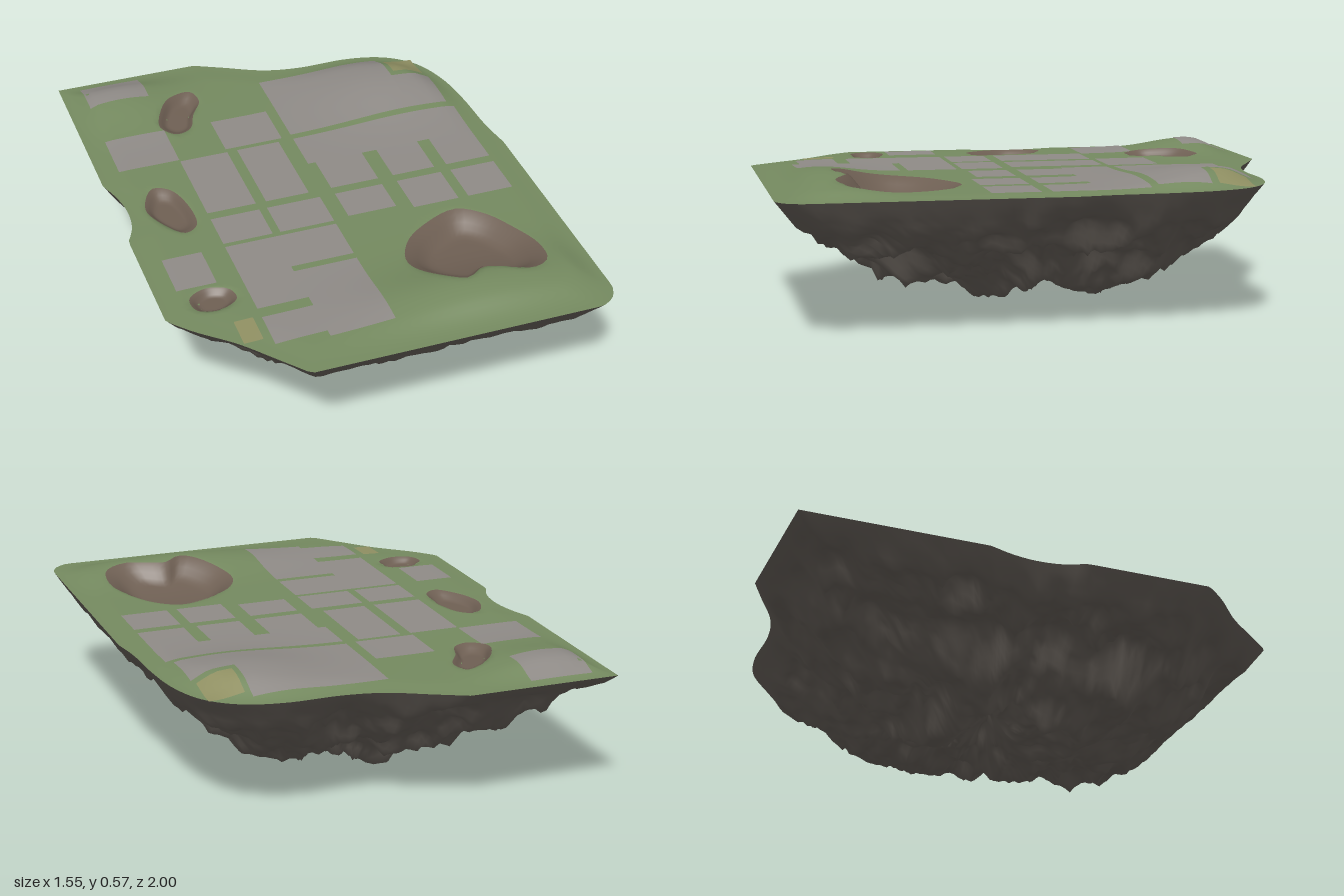
import * as THREE from 'three';

const EDGE_Y = 0.52;
const { smoothstep, lerp } = THREE.MathUtils;
const vec = (list) => list.map(([x, z]) => new THREE.Vector2(x, z));

// Island outline in (x, z), clockwise seen from above
function islandOutline() {
  const s = new THREE.Shape();
  s.moveTo(-0.78, -1);
  s.lineTo(-0.21, -1);
  s.splineThru(vec([[-0.1, -0.945], [0.05, -0.87], [0.2, -0.84], [0.4, -0.838], [0.55, -0.8], [0.66, -0.71],
    [0.72, -0.57], [0.745, -0.4], [0.755, -0.2], [0.775, -0.06]]));
  s.lineTo(0.775, 0.91);
  s.splineThru(vec([[0.75, 0.965], [0.7, 1]]));
  s.lineTo(-0.39, 1);
  s.splineThru(vec([[-0.48, 0.89], [-0.58, 0.77], [-0.7, 0.66], [-0.78, 0.57]]));
  s.lineTo(-0.78, 0.08);
  s.splineThru(vec([[-0.745, 0], [-0.735, -0.1], [-0.75, -0.2], [-0.78, -0.29]]));
  s.lineTo(-0.78, -1);
  return s.getSpacedPoints(240).slice(0, -1);
}

// Closed smooth outline for a crater
function blob(list, count = 48) {
  const curve = new THREE.CatmullRomCurve3(list.map(([x, z]) => new THREE.Vector3(x, 0, z)), true);
  return curve.getSpacedPoints(count).slice(0, -1).map((p) => new THREE.Vector2(p.x, p.z));
}

const OUTLINE = islandOutline();
const CENTRE = new THREE.Vector2(0, 0);
const CRATERS = [
  { name: 'largeCrater', depth: 0.06, centre: [0.38, 0.54], rim: [[0.42, 0.3], [0.51, 0.36], [0.58, 0.48], [0.62, 0.6],
    [0.6, 0.73], [0.52, 0.77], [0.43, 0.73], [0.36, 0.71], [0.28, 0.76], [0.17, 0.66], [0.13, 0.55], [0.18, 0.43], [0.28, 0.35]] },
  { name: 'backCrater', depth: 0.03, centre: [-0.38, -0.65], rim: [[-0.29, -0.79], [-0.27, -0.72], [-0.32, -0.63],
    [-0.36, -0.54], [-0.42, -0.52], [-0.47, -0.58], [-0.44, -0.68], [-0.38, -0.76]] },
  { name: 'sideCrater', depth: 0.03, centre: [-0.59, -0.05], rim: [[-0.61, -0.2], [-0.55, -0.17], [-0.51, -0.03],
    [-0.52, 0.08], [-0.57, 0.11], [-0.63, 0.04], [-0.67, -0.08]] },
  { name: 'smallCrater', depth: 0.025, centre: [-0.59, 0.515], rim: [[-0.6, 0.45], [-0.52, 0.48], [-0.51, 0.54],
    [-0.58, 0.58], [-0.66, 0.56], [-0.67, 0.49]] },
].map((c) => ({ ...c, centre: new THREE.Vector2(...c.centre), rim: blob(c.rim) }));

// Paved rectangles: x0, z0, x1, z1
const PAVING = [
  [-0.7, -0.96, -0.46, -0.78], [-0.7, -0.56, -0.46, -0.35], [-0.27, -0.56, -0.04, -0.36],
  [0, -0.77, 0.5, -0.37], [0.5, -0.57, 0.66, -0.37], [0, -0.34, 0.5, -0.16], [0.5, -0.34, 0.68, -0.16],
  [-0.46, -0.34, -0.27, 0.02], [-0.23, -0.34, -0.06, 0.02], [0.03, -0.16, 0.22, 0.02],
  [0.28, -0.16, 0.45, 0.02], [0.5, -0.16, 0.68, 0.02], [0.03, 0.06, 0.22, 0.21], [0.28, 0.06, 0.46, 0.24],
  [0.5, 0.06, 0.68, 0.24], [-0.46, 0.06, -0.27, 0.22], [-0.24, 0.06, -0.03, 0.22],
  [-0.46, 0.24, -0.27, 0.62], [-0.27, 0.24, -0.03, 0.43], [-0.27, 0.46, -0.03, 0.85],
  [-0.46, 0.67, -0.27, 0.82], [-0.7, 0.24, -0.55, 0.43],
];
const SAND = [[0.52, -0.74, 0.65, -0.6], [-0.56, 0.66, -0.49, 0.78]];

// Position of a point between centre (0) and outline (1)
function reach(outline, c, x, z) {
  const px = x - c.x, pz = z - c.y;
  for (let i = 0; i < outline.length; i++) {
    const a = outline[i], b = outline[(i + 1) % outline.length];
    const ax = a.x - c.x, az = a.y - c.y, bx = b.x - c.x, bz = b.y - c.y;
    const det = ax * bz - az * bx;
    const u = (px * bz - pz * bx) / det, v = (ax * pz - az * px) / det;
    if (u >= -1e-6 && v >= -1e-6) return u + v;
  }
  return 0;
}

// Gentle mounds, a flat edge and sunken craters
const MOUNDS = [[0.32, 0.77, 0.4, 0.16, 0.051], [-0.58, -0.83, 0.22, 0.2, 0.044], [0.48, -0.58, 0.28, 0.24, 0.052]];
function groundY(x, z) {
  let rise = 0.006;
  for (const [mx, mz, rx, rz, h] of MOUNDS) rise += h * Math.exp(-(((x - mx) / rx) ** 2) - ((z - mz) / rz) ** 2);
  let y = EDGE_Y + rise * smoothstep(1 - reach(OUTLINE, CENTRE, x, z), 0, 0.15);
  for (const c of CRATERS) {
    if (Math.hypot(x - c.centre.x, z - c.centre.y) < 0.4) {
      y -= c.depth * smoothstep(1.04 - reach(c.rim, c.centre, x, z), 0, 0.5);
    }
  }
  return y;
}

// Seeded value noise and its ridged sum
function hash(i, j) {
  const s = Math.sin(i * 127.1 + j * 311.7 + 4.2) * 43758.5453;
  return s - Math.floor(s);
}
function noise(x, z) {
  const i = Math.floor(x), j = Math.floor(z);
  const u = smoothstep(x - i, 0, 1), v = smoothstep(z - j, 0, 1);
  return lerp(lerp(hash(i, j), hash(i + 1, j), u), lerp(hash(i, j + 1), hash(i + 1, j + 1), u), v);
}
function crags(x, z) {
  let sum = 0;
  for (let o = 0, f = 6, a = 0.55; o < 3; o++, f *= 2.1, a *= 0.5) sum += a * Math.abs(2 * noise(x * f + o * 9, z * f) - 1);
  return sum;
}

// Piecewise-linear profile lookup
function profile(points, x) {
  for (let i = 1; i < points.length; i++) {
    const [x0, y0] = points[i - 1], [x1, y1] = points[i];
    if (x <= x1) return lerp(y0, y1, Math.max(0, (x - x0) / (x1 - x0)));
  }
  return points[points.length - 1][1];
}
const ACROSS = [[-0.78, 0.52], [-0.7, 0.4], [-0.6, 0.34], [-0.5, 0.31], [-0.4, 0.17], [-0.3, 0.1], [-0.18, 0], [-0.1, 0.02],
  [0, 0.09], [0.05, 0.07], [0.1, 0.14], [0.16, 0.07], [0.24, 0.06], [0.4, 0.12], [0.5, 0.22], [0.6, 0.28], [0.7, 0.39], [0.78, 0.52]];
const ALONG = [[-1, 0.52], [-0.9, 0.42], [-0.8, 0.29], [-0.7, 0.2], [-0.6, 0.14], [-0.4, 0.12], [-0.32, 0.01], [-0.24, 0.02],
  [-0.1, 0.11], [0, 0.16], [0.1, 0.07], [0.3, 0.08], [0.45, 0.16], [0.6, 0.16], [0.7, 0.2], [0.8, 0.27], [0.9, 0.38], [1, 0.52]];
const BOWL = [[0, 0], [0.3, 0], [0.5, 0.11], [0.6, 0.17], [0.7, 0.23], [0.8, 0.3], [0.9, 0.39], [1, 0.52]];

// Craggy underside: the highest of three profiles plus ridged noise
function rockY(x, z, t) {
  const base = Math.max(profile(ACROSS, x), profile(ALONG, z), profile(BOWL, t));
  const fade = smoothstep(1 - t, 0, 0.2) * smoothstep(base, 0, 0.08);
  return Math.min(EDGE_Y, base + fade * (0.16 * crags(x, z) - 0.01));
}

// Concentric rings from an outline to its centre, placed by a height rule
function ringSurface(outline, c, rings, height, up) {
  const n = outline.length, pos = [], index = [];
  for (let r = 0; r < rings; r++) {
    const t = 1 - r / rings;
    for (const p of outline) {
      const x = lerp(c.x, p.x, t), z = lerp(c.y, p.y, t);
      pos.push(x, height(x, z, t), z);
    }
  }
  pos.push(c.x, height(c.x, c.y, 0), c.y);
  const tri = (a, b, d) => (up ? index.push(a, b, d) : index.push(a, d, b));
  for (let r = 0; r < rings; r++) {
    for (let i = 0; i < n; i++) {
      const a = r * n + i, b = r * n + ((i + 1) % n);
      if (r === rings - 1) tri(a, n * rings, b);
      else { tri(a, a + n, b); tri(b, a + n, b + n); }
    }
  }
  const geo = new THREE.BufferGeometry();
  geo.setAttribute('position', new THREE.Float32BufferAttribute(pos, 3));
  geo.setIndex(index);
  geo.computeVertexNormals();
  return geo;
}

// Rectangle draped just above the ground
function drapedPatch([x0, z0, x1, z1]) {
  const w = x1 - x0, d = z1 - z0;
  const geo = new THREE.PlaneGeometry(w, d, Math.ceil(w / 0.03), Math.ceil(d / 0.03));
  geo.rotateX(-Math.PI / 2).translate((x0 + x1) / 2, 0, (z0 + z1) / 2);
  const p = geo.attributes.position;
  for (let i = 0; i < p.count; i++) p.setY(i, groundY(p.getX(i), p.getZ(i)) + 0.003);
  geo.computeVertexNormals();
  return geo;
}

export function createModel() {
  const model = new THREE.Group();
  model.name = 'floatingIsland';
  const paint = (color) => new THREE.MeshStandardMaterial({ color });
  const grass = paint(0x74895f), rock = paint(0x5e5852), paving = paint(0x8e8a86), dirt = paint(0x6e5f53), sand = paint(0x8f8f62);
  const add = (name, geo, mat) => {
    const mesh = new THREE.Mesh(geo, mat);
    mesh.name = name;
    model.add(mesh);
  };

  add('grassTop', ringSurface(OUTLINE, CENTRE, 48, groundY, true), grass);
  add('rockUnderside', ringSurface(OUTLINE, CENTRE, 50, rockY, false), rock);
  for (const c of CRATERS) {
    add(c.name, ringSurface(c.rim, c.centre, 10, (x, z) => groundY(x, z) + 0.004, true), dirt);
  }
  PAVING.forEach((r, i) => add(`pavedPlot${i + 1}`, drapedPatch(r), paving));
  SAND.forEach((r, i) => add(`sandPatch${i + 1}`, drapedPatch(r), sand));
  return model;
}
